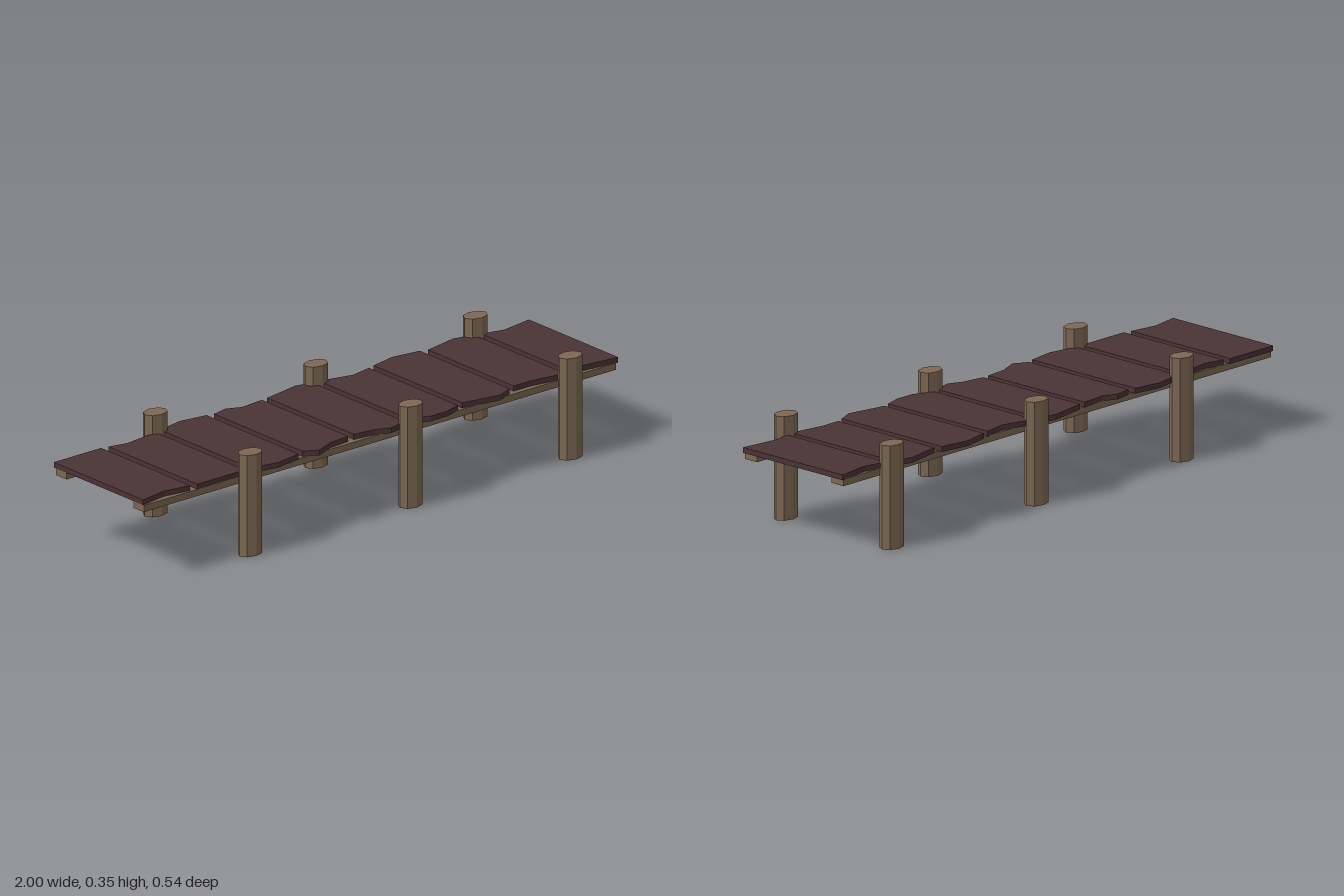
import * as THREE from 'three';

const PLANK_WIDTH = 0.2, PITCH = 0.225;
const PLANK_BASE = 0.267, PLANK_THICKNESS = 0.018;

// Worn plank ends: [distance across the plank (0-1), z], back edge then front edge
const PLANKS = [
  { back: [[0, -0.228], [1, -0.228]], front: [[0, 0.218], [0.5, 0.2], [1, 0.215]] },
  { back: [[0, -0.222], [0.33, -0.207], [1, -0.222]], front: [[0, 0.222], [1, 0.222]] },
  { back: [[0, -0.23], [0.5, -0.25], [1, -0.235]], front: [[0, 0.22], [0.5, 0.24], [1, 0.225]] },
  { back: [[0, -0.228], [0.3, -0.24], [0.55, -0.217], [1, -0.225]], front: [[0, 0.213], [0.25, 0.241], [0.6, 0.212], [1, 0.205]] },
  { back: [[0, -0.228], [0.7, -0.253], [1, -0.238]], front: [[0, 0.203], [0.4, 0.215], [0.65, 0.237], [1, 0.223]] },
  { back: [[0, -0.238], [0.6, -0.208], [1, -0.223]], front: [[0, 0.205], [0.35, 0.238], [0.7, 0.238], [1, 0.22]] },
  { back: [[0, -0.23], [0.48, -0.25], [1, -0.235]], front: [[0, 0.212], [0.7, 0.238], [1, 0.212]] },
  { back: [[0, -0.225], [0.65, -0.25], [1, -0.23]], front: [[0, 0.203], [0.35, 0.203], [0.65, 0.212], [1, 0.222]] },
  { back: [[0, -0.225], [0.4, -0.205], [1, -0.223]], front: [[0, 0.215], [0.3, 0.205], [1, 0.222]] },
];

export function createModel() {
  const model = new THREE.Group();
  model.name = 'woodenDock';

  const plankMaterial = new THREE.MeshStandardMaterial({ color: 0x4a3335, flatShading: true });
  const timberMaterial = new THREE.MeshStandardMaterial({ color: 0x7d6853, flatShading: true });

  const add = (name, geometry, material, x, y, z) => {
    const mesh = new THREE.Mesh(geometry, material);
    mesh.name = name;
    mesh.position.set(x, y, z);
    model.add(mesh);
    return mesh;
  };

  // Deck planks, outlined from above and extruded upwards
  PLANKS.forEach(({ back, front }, i) => {
    const outline = [...back, ...[...front].reverse()]
      .map(([t, z]) => new THREE.Vector2(t * PLANK_WIDTH, -z));
    const geometry = new THREE.ExtrudeGeometry(new THREE.Shape(outline), {
      depth: PLANK_THICKNESS, bevelEnabled: false,
    });
    geometry.rotateX(-Math.PI / 2);
    add(`plank${i + 1}`, geometry, plankMaterial, -1 + i * PITCH, PLANK_BASE, 0);
  });

  // Rails under the planks and oval eight-sided posts along both sides
  const railGeometry = new THREE.BoxGeometry(1.99, 0.023, 0.053);
  const postGeometry = new THREE.CylinderGeometry(1, 1, 0.35, 8);
  postGeometry.scale(0.045, 1, 0.033);

  for (const [side, s] of [['front', 1], ['back', -1]]) {
    add(`${side}Rail`, railGeometry, timberMaterial, -0.005, 0.2555, s > 0 ? 0.195 : -0.191);
    [-0.565, 0.112, 0.785].forEach((x, i) => {
      add(`${side}Post${i + 1}`, postGeometry, timberMaterial, x, 0.175, s * 0.236);
    });
  }

  return model;
}
